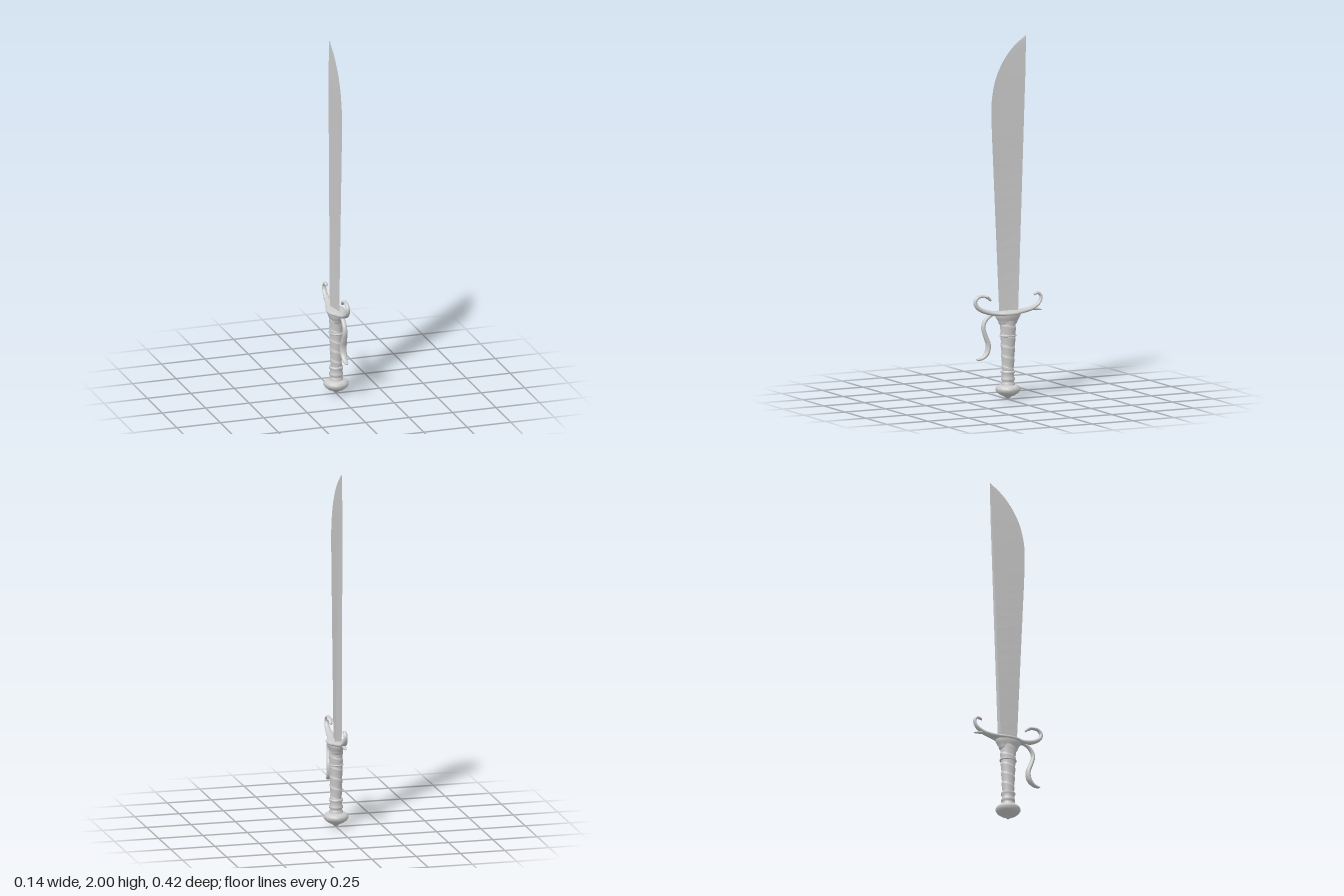
import * as THREE from 'three';

const steel = new THREE.MeshStandardMaterial({ color: 0xcccccc });
steel.name = 'steel';

// Skin a stack of closed rings, each an array of [x, y, z]
function loft(rings) {
  const n = rings[0].length, index = [];
  for (let i = 0; i < rings.length - 1; i++) {
    for (let j = 0; j < n; j++) {
      const a = i * n + j, b = i * n + (j + 1) % n;
      index.push(a, b, b + n, a, b + n, a + n);
    }
  }
  const g = new THREE.BufferGeometry();
  g.setAttribute('position', new THREE.Float32BufferAttribute(rings.flat(2), 3));
  g.setIndex(index);
  g.computeVertexNormals();
  return g;
}

// Sweep an ellipse along a path in the yz plane; stations are [z, y, halfWidth, halfThickness]
function sweep(stations, steps, sides = 14) {
  const path = new THREE.CatmullRomCurve3(stations.map(s => new THREE.Vector3(0, s[1], s[0])));
  const size = new THREE.CatmullRomCurve3(stations.map(s => new THREE.Vector3(s[2], s[3], 0)));
  const xAxis = new THREE.Vector3(1, 0, 0), rings = [];
  for (let i = 0; i <= steps; i++) {
    const t = i / steps, c = path.getPoint(t), s = size.getPoint(t);
    const w = Math.max(s.x, 0.0005), h = Math.max(s.y, 0.0005);
    const n = path.getTangent(t).cross(xAxis).normalize();
    rings.push(Array.from({ length: sides }, (_, j) => {
      const a = j / sides * Math.PI * 2, k = h * Math.sin(a);
      return [w * Math.cos(a), c.y + n.y * k, c.z + n.z * k];
    }));
  }
  return loft(rings);
}

function lathe(profile, sides = 24) {
  return new THREE.LatheGeometry(profile.map(p => new THREE.Vector2(...p)), sides);
}

// Wedge blade: flat spine at the back, sharp edge at the front
function bladeGeometry() {
  const edge = new THREE.CatmullRomCurve3([
    [0.053, 0.47], [0.07, 0.85], [0.088, 1.25], [0.1, 1.54], [0.098, 1.66],
    [0.071, 1.78], [0.018, 1.88], [-0.042, 1.948], [-0.11, 2],
  ].map(([z, y]) => new THREE.Vector3(0, y, z)));
  const rings = [];
  for (let i = 0; i <= 48; i++) {
    const p = edge.getPoint(i / 48), t = (p.y - 0.47) / 1.53;
    const spine = -0.053 - 0.057 * t;
    const half = 0.018 - 0.01 * t - 0.005 * Math.max(0, (t - 0.85) / 0.15);
    rings.push([[0, p.y, p.z], [half, p.y, spine], [-half, p.y, spine]]);
  }
  const g = loft(rings).toNonIndexed();
  g.computeVertexNormals();
  return g;
}

// Tapered oval grip with a spiral wrap
function gripGeometry() {
  const rings = [], rows = 72, sides = 28;
  for (let i = 0; i <= rows; i++) {
    const t = i / rows, y = 0.14 + 0.3 * t;
    rings.push(Array.from({ length: sides }, (_, j) => {
      const a = j / sides * Math.PI * 2;
      const turn = y / 0.058 + a / (Math.PI * 2);
      const wrap = turn - Math.floor(turn);
      const r = 0.032 + 0.015 * t + 0.004 * (Math.pow(wrap, 1.5) - 0.5);
      return [r * (0.95 - 0.15 * t) * Math.cos(a), y, -r * Math.sin(a)];
    }));
  }
  return loft(rings);
}

export function createModel() {
  const group = new THREE.Group();
  const add = (name, geometry) => {
    const mesh = new THREE.Mesh(geometry, steel);
    mesh.name = name;
    group.add(mesh);
    return mesh;
  };

  add('blade', bladeGeometry());
  add('grip', gripGeometry());

  // Crossguard: wide in the middle, both arms curling up and inward
  add('crossguard', sweep([
    [-0.160, 0.562, 0.002, 0.002], [-0.166, 0.570, 0.009, 0.007], [-0.186, 0.574, 0.010, 0.008],
    [-0.203, 0.554, 0.011, 0.008], [-0.191, 0.521, 0.013, 0.009], [-0.149, 0.494, 0.018, 0.011],
    [-0.110, 0.485, 0.024, 0.012], [-0.070, 0.480, 0.036, 0.013], [-0.035, 0.477, 0.050, 0.015],
    [0.000, 0.476, 0.054, 0.016], [0.035, 0.476, 0.049, 0.015], [0.070, 0.477, 0.032, 0.014],
    [0.110, 0.483, 0.022, 0.013], [0.160, 0.500, 0.017, 0.012], [0.192, 0.524, 0.013, 0.011],
    [0.200, 0.550, 0.011, 0.010], [0.184, 0.572, 0.011, 0.009], [0.152, 0.577, 0.011, 0.008],
    [0.122, 0.567, 0.011, 0.008], [0.108, 0.553, 0.009, 0.007], [0.105, 0.546, 0.002, 0.002],
  ], 110, 18));

  // Small pointed spur under the rear arm
  add('rearSpur', sweep([
    [-0.125, 0.489, 0.012, 0.008], [-0.165, 0.489, 0.011, 0.008],
    [-0.192, 0.483, 0.008, 0.006], [-0.210, 0.480, 0.001, 0.001],
  ], 14));

  // Leaf-shaped finger guard hanging in an S curve
  add('fingerGuard', sweep([
    [0.085, 0.476, 0.010, 0.008], [0.118, 0.462, 0.012, 0.010], [0.142, 0.437, 0.013, 0.011],
    [0.151, 0.403, 0.014, 0.011], [0.138, 0.358, 0.017, 0.012], [0.121, 0.310, 0.020, 0.013],
    [0.128, 0.265, 0.019, 0.013], [0.154, 0.238, 0.014, 0.010], [0.182, 0.231, 0.009, 0.007],
    [0.197, 0.234, 0.001, 0.001],
  ], 60));

  // Oval collar under the guard
  const collar = add('collar', lathe([
    [0.044, 0.412], [0.053, 0.418], [0.055, 0.427], [0.059, 0.435], [0.066, 0.447], [0.074, 0.46], [0.074, 0.472],
  ]));
  collar.scale.x = 0.62;

  // Ridge around the upper grip
  const ridge = add('gripRidge', new THREE.TorusGeometry(0.044, 0.005, 8, 28));
  ridge.rotation.x = Math.PI / 2;
  ridge.scale.x = 0.82;
  ridge.position.y = 0.352;

  // Stepped ferrule at the foot of the grip
  add('ferrule', lathe([
    [0.038, 0.075], [0.038, 0.09], [0.033, 0.094], [0.033, 0.104], [0.038, 0.107], [0.038, 0.118],
    [0.034, 0.122], [0.034, 0.144], [0.039, 0.147], [0.039, 0.157], [0.032, 0.16],
  ]));

  // Mushroom pommel ending in a small point
  add('pommel', lathe([
    [0, 0], [0.012, 0.008], [0.018, 0.015], [0.042, 0.026], [0.06, 0.039],
    [0.069, 0.053], [0.067, 0.066], [0.058, 0.075], [0.044, 0.08], [0.03, 0.082],
  ], 18));

  return group;
}
